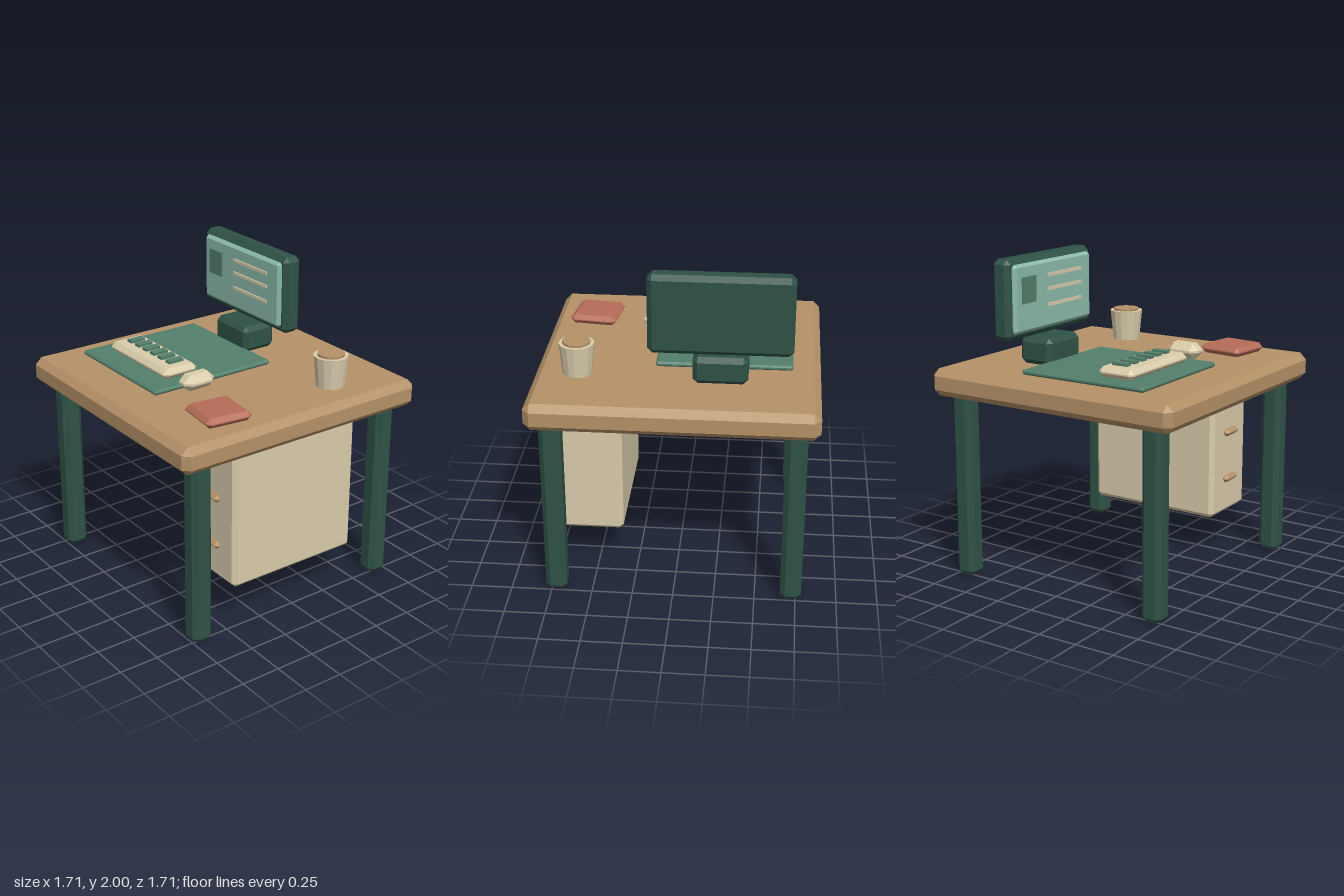
import * as THREE from 'three';
import { ConvexGeometry } from 'three/addons/geometries/ConvexGeometry.js';

function paint(name, color) {
  const m = new THREE.MeshStandardMaterial({ color });
  m.name = name;
  return m;
}

// Box with every edge chamfered by c: three points at each corner.
function chamferBox(w, h, d, c) {
  const points = [];
  for (const x of [-w / 2, w / 2]) for (const y of [-h / 2, h / 2]) for (const z of [-d / 2, d / 2]) {
    const ix = x - Math.sign(x) * c, iy = y - Math.sign(y) * c, iz = z - Math.sign(z) * c;
    points.push(new THREE.Vector3(x, iy, iz), new THREE.Vector3(ix, y, iz), new THREE.Vector3(ix, iy, z));
  }
  return new ConvexGeometry(points);
}

export function createModel() {
  const model = new THREE.Group();
  model.name = 'desk';
  const wood = paint('wood', 0xb59167);
  const cream = paint('cream', 0xd9ccab);
  const dark = paint('darkGreen', 0x2f5246);
  const green = paint('green', 0x537f6c);
  const glass = paint('paleTeal', 0x8cbbac);
  const red = paint('brickRed', 0xb56c58);

  function add(name, geometry, material, x, y, z) {
    const mesh = new THREE.Mesh(geometry, material);
    mesh.name = name;
    mesh.position.set(x, y, z);
    model.add(mesh);
    return mesh;
  }
  // Places a (chamfered) box from its minimum and maximum on each axis.
  function block(name, material, [x0, x1], [y0, y1], [z0, z1], c = 0) {
    const size = [x1 - x0, y1 - y0, z1 - z0];
    const geometry = c ? chamferBox(...size, c) : new THREE.BoxGeometry(...size);
    return add(name, geometry, material, (x0 + x1) / 2, (y0 + y1) / 2, (z0 + z1) / 2);
  }

  // Table top and legs
  block('tableTop', wood, [-0.856, 0.856], [1.155, 1.325], [-0.856, 0.856], 0.042);
  const legShape = chamferBox(0.13, 1.2, 0.134, 0.03);
  for (const x of [-0.722, 0.722]) for (const z of [-0.687, 0.687]) add('leg', legShape, dark, x, 0.6, z);

  // Drawer cabinet with three pulls
  block('drawerCabinet', cream, [0.335, 0.763], [0.265, 1.18], [-0.453, 0.455], 0.027);
  for (const y of [0.5, 0.81, 1.068]) {
    block('drawerPull', wood, [0.475, 0.621], [y - 0.023, y + 0.023], [0.438, 0.488], 0.019);
  }

  // Monitor on its base
  block('monitorBase', dark, [-0.425, -0.097], [1.325, 1.495], [-0.5, -0.262], 0.03);
  block('monitorCase', dark, [-0.688, 0.168], [1.51, 2], [-0.495, -0.368], 0.03);
  block('screen', glass, [-0.65, 0.13], [1.55, 1.968], [-0.4, -0.344], 0.018);
  block('screenPicture', green, [-0.586, -0.454], [1.73, 1.889], [-0.344, -0.335]);
  for (const y of [1.692, 1.79, 1.876]) {
    block('screenLine', cream, [-0.33, 0.013], [y - 0.01, y + 0.01], [-0.344, -0.335]);
  }

  // Desk mat, keyboard and mouse
  block('deskMat', green, [-0.688, 0.137], [1.328, 1.358], [-0.28, 0.578], 0.01);
  block('keyboard', cream, [-0.592, 0.041], [1.355, 1.42], [0.197, 0.442], 0.028);
  for (let i = 0; i < 6; i++) {
    const x = -0.491 + i * 0.0855;
    block('key', green, [x - 0.023, x + 0.023], [1.41, 1.437], [0.252, 0.354]);
  }
  block('mouse', cream, [0.133, 0.266], [1.345, 1.443], [0.214, 0.432], 0.042);

  // Notebook, turned slightly
  const notebook = block('notebook', red, [0.437, 0.733], [1.327, 1.386], [0.295, 0.591], 0.026);
  notebook.rotation.y = -0.12;

  // Cup and drink
  const cup = new THREE.CylinderGeometry(0.107, 0.088, 0.194, 14).toNonIndexed();
  cup.computeVertexNormals();
  add('cup', cup, cream, 0.598, 1.422, -0.38);
  const drink = new THREE.CylinderGeometry(0.084, 0.084, 0.02, 14).toNonIndexed();
  drink.computeVertexNormals();
  add('drink', drink, wood, 0.598, 1.523, -0.38);

  return model;
}
